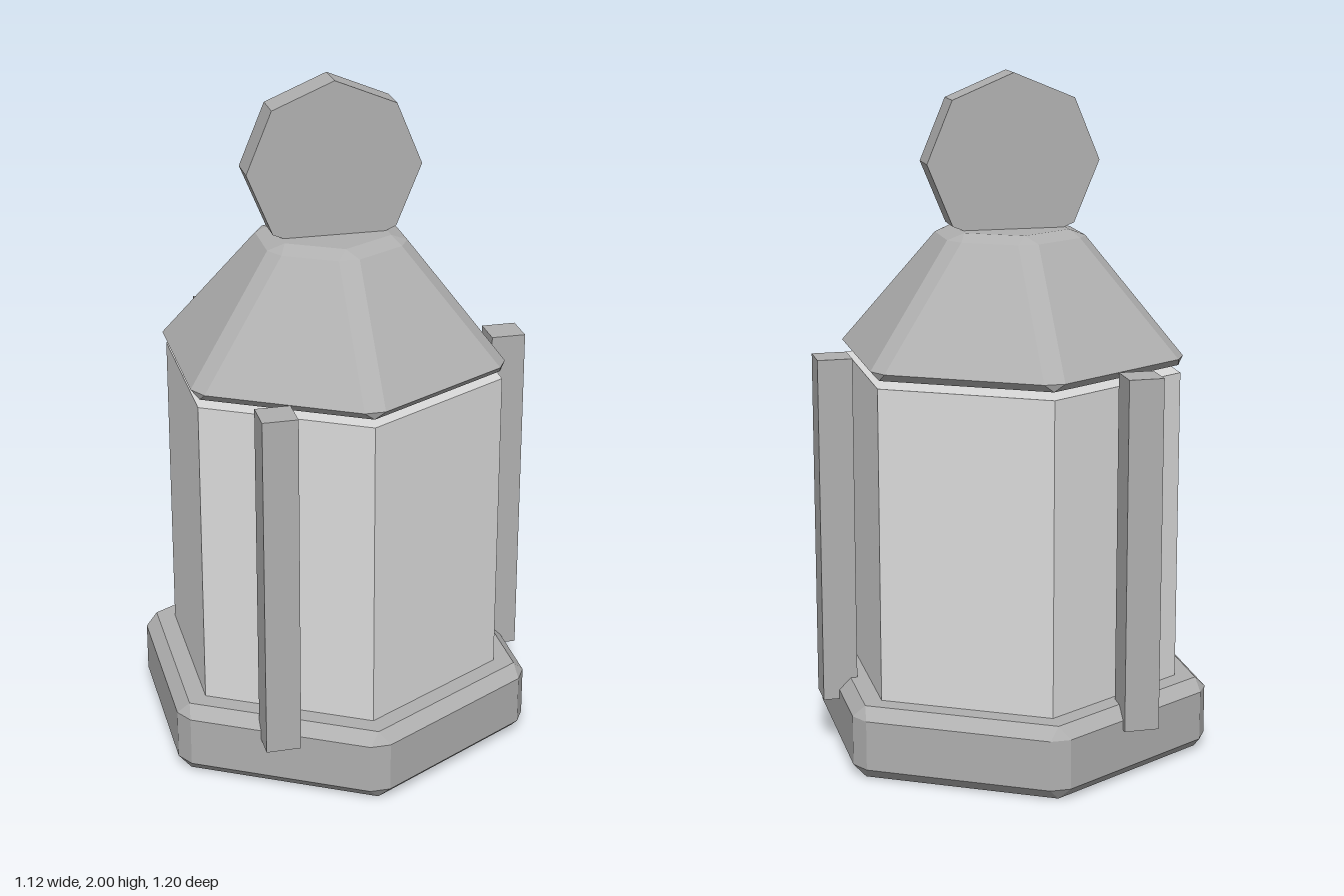
import * as THREE from 'three';
import { ConvexGeometry } from 'three/addons/geometries/ConvexGeometry.js';

const metal = new THREE.MeshStandardMaterial({ color: 0xb0b0b0, flatShading: true });
metal.name = 'grey metal';
const glass = new THREE.MeshStandardMaterial({ color: 0xdcdcdc, flatShading: true });
glass.name = 'pale glass';

// Six corners pointing along z; cut > 0 splits each corner into a chamfer of that half width
function hexRing(reach, y, cut = 0) {
  const points = [];
  for (let i = 0; i < 6; i++) {
    const a = (i * Math.PI) / 3;
    for (const s of cut ? [-cut, cut] : [0]) {
      points.push(new THREE.Vector3(
        reach * Math.sin(a) + s * Math.cos(a), y,
        reach * Math.cos(a) - s * Math.sin(a)));
    }
  }
  return points;
}

// Hexagonal solid with every edge bevelled: [reach, y, cut] per level
function bevelledHex(levels) {
  return new ConvexGeometry(levels.flatMap((level) => hexRing(...level)));
}

export function createModel() {
  const model = new THREE.Group();
  model.name = 'lantern';
  const cx = -0.025; // lantern axis, offset by the protruding post

  function add(name, geometry, material, x, y, z) {
    const mesh = new THREE.Mesh(geometry, material);
    mesh.name = name;
    mesh.position.set(x, y, z);
    model.add(mesh);
    return mesh;
  }

  // Base plinth
  add('base', bevelledHex([
    [0.577, 0], [0.6, 0.035, 0.03], [0.6, 0.183, 0.03], [0.577, 0.218],
  ]), metal, cx, 0, 0);

  // Glass body
  add('glassBody', new THREE.CylinderGeometry(0.515, 0.515, 0.935, 6), glass, cx, 0.6775, 0);

  // Sloped roof, floating just above the glass
  add('roof', bevelledHex([
    [0.508, 1.167], [0.515, 1.19, 0.03], [0.22, 1.53, 0.03], [0.18, 1.55],
  ]), metal, cx, 0, 0);

  // Three square posts around the body
  for (let i = 0; i < 3; i++) {
    const a = (i * Math.PI * 2) / 3;
    add('post', new THREE.BoxGeometry(0.102, 1.035, 0.102), metal,
      cx + 0.531 * Math.cos(a), 0.6725, 0.531 * Math.sin(a));
  }

  // Octagonal carrying handle, sunk into the roof
  const handle = new THREE.CylinderGeometry(0.256, 0.256, 0.1, 8).rotateX(Math.PI / 2);
  add('handle', handle, metal, cx, 1.744, 0);

  return model;
}
